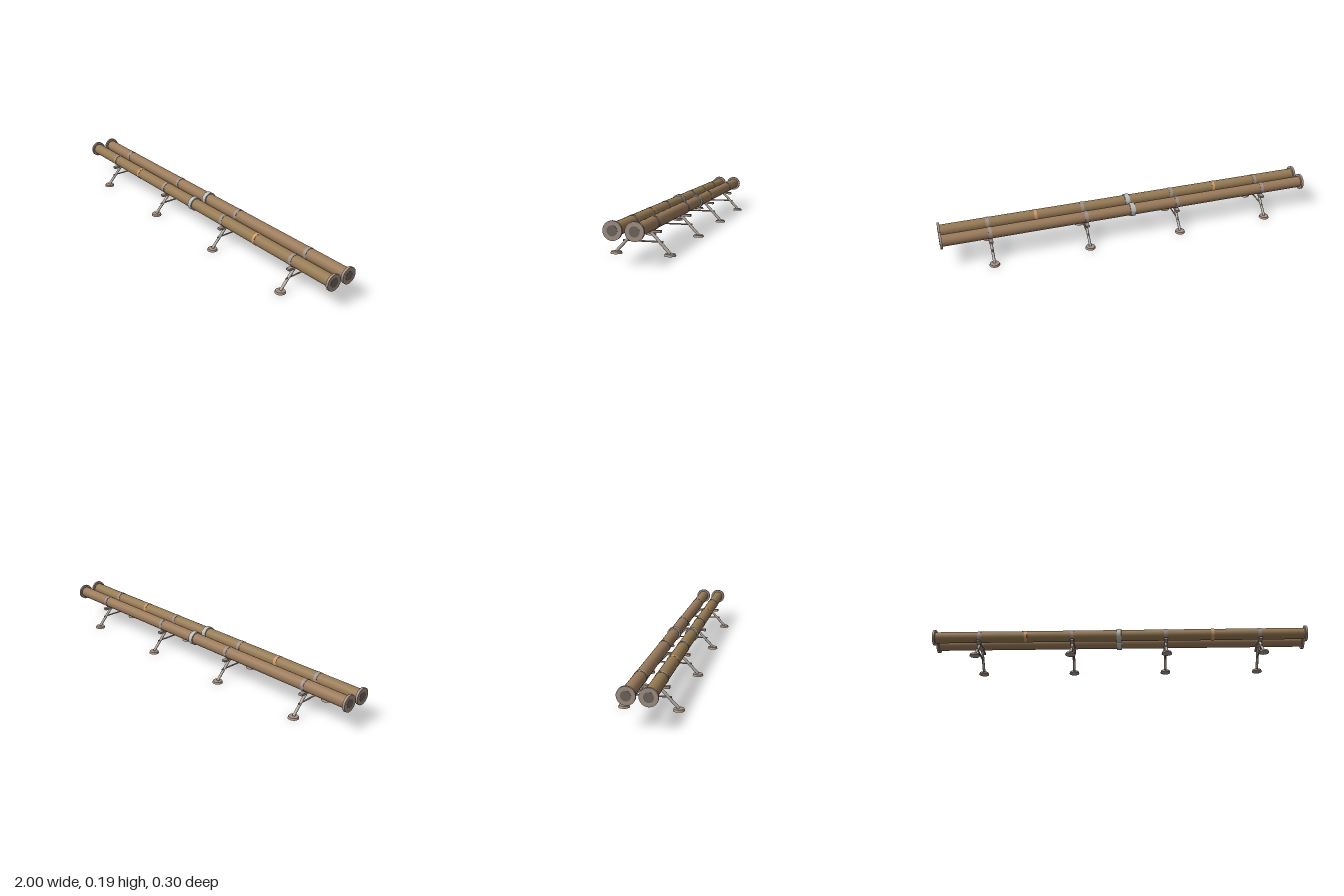
import * as THREE from 'three';

const mat = (name, color) => {
  const m = new THREE.MeshStandardMaterial({ color });
  m.name = name;
  return m;
};

export function createModel() {
  const group = new THREE.Group();
  group.name = 'twinPipeline';
  const backBrown = mat('pipe brown', 0x9a7a5a);
  const frontBrown = mat('pipe ochre', 0x967a54);
  const taupe = mat('flange taupe', 0xa39084);
  const dark = mat('bore dark', 0x6e645d);
  const steel = mat('leg steel', 0xb3aaa2);
  const silver = mat('coupling silver', 0xbdbdb9);
  const bandGrey = mat('band grey', 0x9f9189);
  const orange = mat('marker orange', 0xd09a64);

  const PIPE_Y = 0.145, PIPE_Z = 0.048, PIPE_R = 0.03;

  const add = (parent, name, geometry, material, x = 0, y = 0, z = 0) => {
    const mesh = new THREE.Mesh(geometry, material);
    mesh.name = name;
    mesh.position.set(x, y, z);
    parent.add(mesh);
    return mesh;
  };

  // Cylinder lying along x
  const along = (r, length, open = false) =>
    new THREE.CylinderGeometry(r, r, length, 32, 1, open).rotateZ(Math.PI / 2);

  // Round rod between two points
  const rod = (parent, name, a, b, r, material) => {
    const dir = b.clone().sub(a);
    const mesh = add(parent, name, new THREE.CylinderGeometry(r, r, dir.length(), 16), material);
    mesh.position.copy(a).add(b).multiplyScalar(0.5);
    mesh.quaternion.setFromUnitVectors(new THREE.Vector3(0, 1, 0), dir.normalize());
  };

  // Two parallel pipes with end flanges, coupling and clamp bands
  for (const side of [1, -1]) {
    const pipe = new THREE.Group();
    pipe.name = side > 0 ? 'frontPipe' : 'backPipe';
    pipe.position.set(0, PIPE_Y, side * PIPE_Z);
    group.add(pipe);
    add(pipe, 'pipeBody', along(PIPE_R, 1.99), side > 0 ? frontBrown : backBrown);
    add(pipe, 'coupling', along(0.036, 0.026), silver);
    for (const end of [1, -1]) {
      add(pipe, 'endFlange', along(0.042, 0.012), taupe, end * 0.993);
      add(pipe, 'boreDisc', along(0.023, 0.002), dark, end * 0.999);
      if (side > 0) add(pipe, 'markerBand', along(0.0312, 0.016), orange, end * 0.5);
    }
    for (const x of [-0.75, -0.25, 0.25, 0.75]) {
      add(pipe, 'clampBand', along(0.0315, 0.018), bandGrey, x);
    }
  }

  // Trestle supports: cross beam, splayed legs, brace and round feet
  for (const x of [-0.75, -0.25, 0.25, 0.75]) {
    const support = new THREE.Group();
    support.name = 'support';
    support.position.x = x;
    group.add(support);
    add(support, 'crossBeam', new THREE.BoxGeometry(0.02, 0.011, 0.17), taupe, 0, 0.1065, 0);
    rod(support, 'brace', new THREE.Vector3(0, 0.061, -0.093),
      new THREE.Vector3(0, 0.061, 0.093), 0.0038, taupe);
    for (const side of [1, -1]) {
      rod(support, 'leg', new THREE.Vector3(0, 0.01, side * 0.125),
        new THREE.Vector3(0, 0.104, side * 0.037), 0.007, steel);
      add(support, 'foot', new THREE.CylinderGeometry(0.0235, 0.027, 0.01, 24), taupe, 0, 0.005, side * 0.125);
    }
  }
  return group;
}
